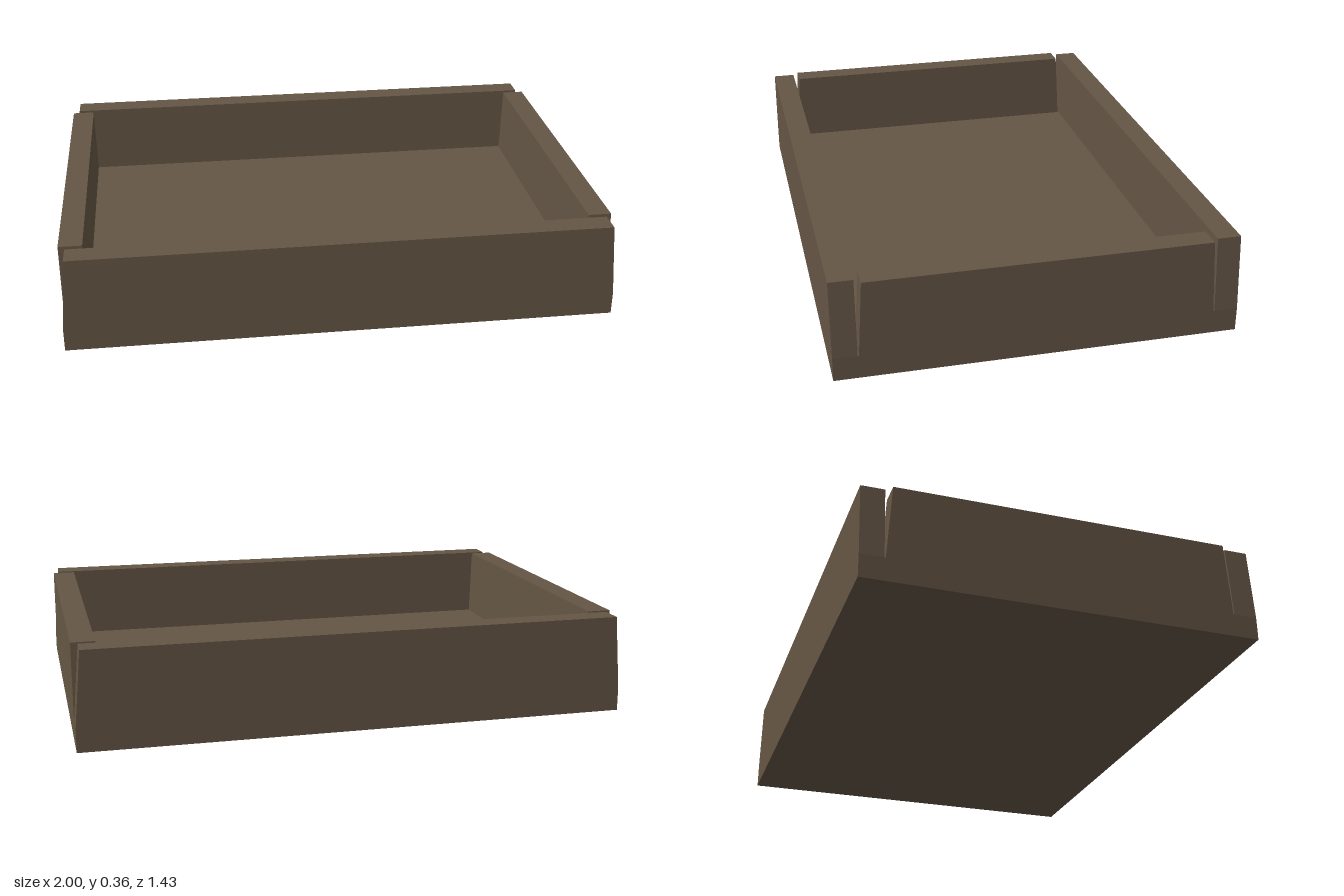
import * as THREE from 'three';

const H = 0.36, FLOOR = 0.086, T = 0.085, HX = 1, HZ = 0.714;
const material = new THREE.MeshStandardMaterial({ color: 0x655645, flatShading: true });

// Upright board along x, its ends leaning inwards towards the top
function board(halfBottom, halfTop) {
  const s = new THREE.Shape([
    new THREE.Vector2(-halfBottom, FLOOR),
    new THREE.Vector2(halfBottom, FLOOR),
    new THREE.Vector2(halfTop, H),
    new THREE.Vector2(-halfTop, H),
  ]);
  return new THREE.ExtrudeGeometry(s, { depth: T, bevelEnabled: false }).translate(0, 0, -T / 2);
}

export function createModel() {
  const tray = new THREE.Group();
  tray.name = 'tray';
  const add = (name, geometry) => {
    const mesh = new THREE.Mesh(geometry, material);
    mesh.name = name;
    tray.add(mesh);
    return mesh;
  };

  // Base slab
  add('base', new THREE.BoxGeometry(2 * HX, FLOOR, 2 * HZ).translate(0, FLOOR / 2, 0));

  // Long walls at front and back, short walls between them with narrow wedge gaps
  for (const [s, longName, shortName] of [[1, 'frontWall', 'leftWall'], [-1, 'backWall', 'rightWall']]) {
    add(longName, board(HX, 0.976)).position.z = s * (HZ - T / 2);
    const side = add(shortName, board(0.625, 0.608));
    side.rotation.y = Math.PI / 2;
    side.position.x = s * (HX - T / 2);
  }
  return tray;
}
